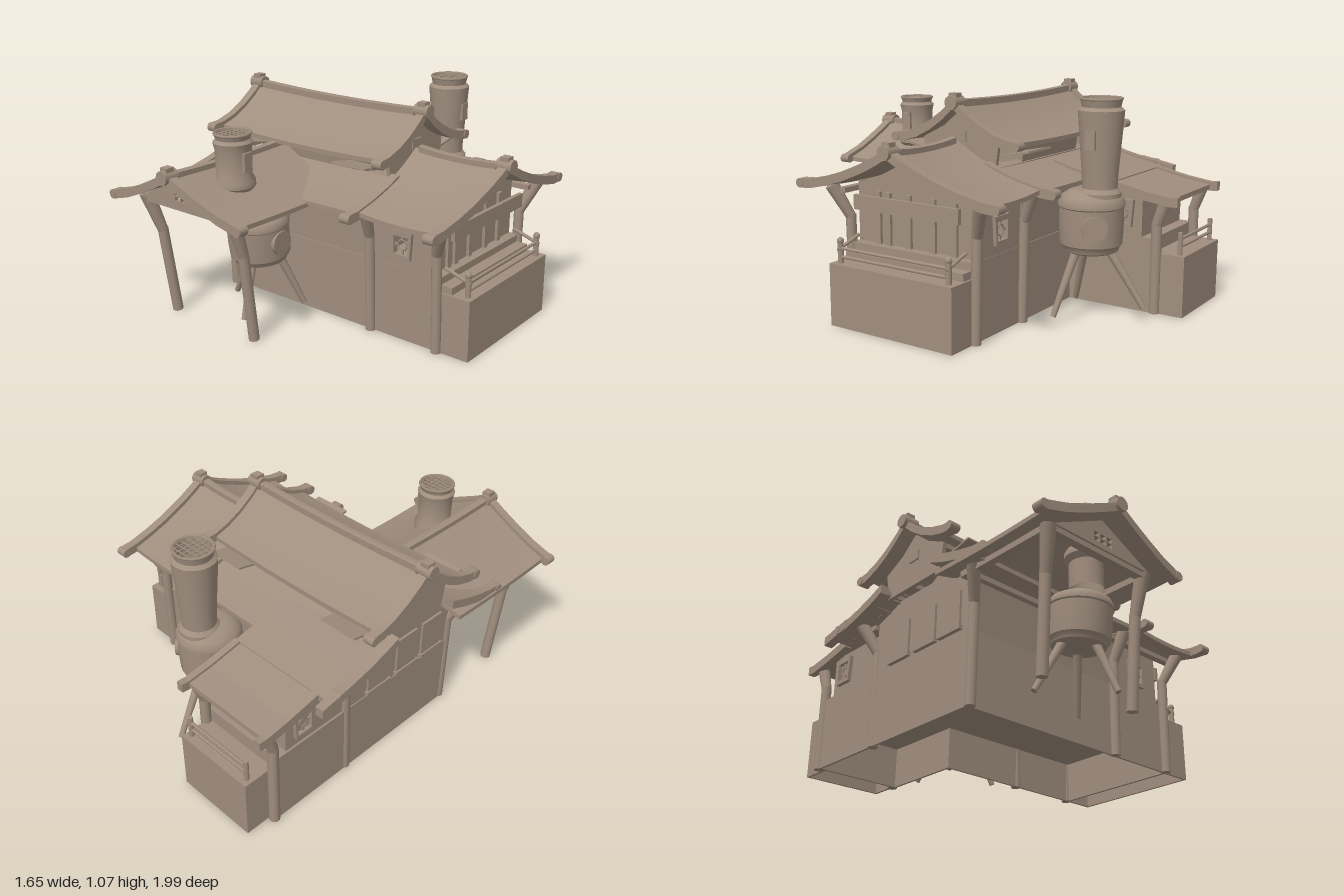
import * as THREE from 'three';
import { toCreasedNormals } from 'three/addons/utils/BufferGeometryUtils.js';

const clay = new THREE.MeshStandardMaterial({ color: 0xa08e7e, side: THREE.DoubleSide });
clay.name = 'clay';
const MID = -0.04; // z of the house's long axis
const EAVE_MID = -0.025; // z of the lower roofs' axis

export function createModel() {
  const model = new THREE.Group();

  function add(name, geometry, pos = [0, 0, 0], parent = model) {
    const mesh = new THREE.Mesh(geometry, clay);
    mesh.name = name;
    mesh.position.set(...pos);
    parent.add(mesh);
    return mesh;
  }
  // Box given by its limits on each axis
  function block(name, [x0, x1], [y0, y1], [z0, z1], parent = model) {
    return add(name, new THREE.BoxGeometry(x1 - x0, y1 - y0, z1 - z0),
      [(x0 + x1) / 2, (y0 + y1) / 2, (z0 + z1) / 2], parent);
  }
  // Round bar between two points
  function rod(name, a, b, r0, r1 = r0, parent = model, sides = 10) {
    const p = new THREE.Vector3(...a), q = new THREE.Vector3(...b), dir = q.clone().sub(p);
    const mesh = add(name, new THREE.CylinderGeometry(r1, r0, dir.length(), sides), p.clone().add(q).multiplyScalar(0.5).toArray(), parent);
    mesh.quaternion.setFromUnitVectors(new THREE.Vector3(0, 1, 0), dir.normalize());
    return mesh;
  }
  const vectors = pts => pts.map(p => new THREE.Vector2(...p));
  const polygon = (pts, ...holes) => {
    const shape = new THREE.Shape(vectors(pts));
    for (const h of holes) shape.holes.push(new THREE.Path(vectors(h)));
    return shape;
  };
  const rect = (x0, x1, y0, y1) => [[x0, y0], [x1, y0], [x1, y1], [x0, y1]];
  const extrude = (shape, depth, steps = 1) => new THREE.ExtrudeGeometry(shape, { depth, steps, bevelEnabled: false });

  // Plinth from a plan outline: solid above, a hollow skirt below the floor
  function plinth(name, outer, inner, top, floor = 0.21) {
    add(name, extrude(polygon(outer), top - floor).rotateX(Math.PI / 2), [0, top, 0]);
    add(name + 'Skirt', extrude(polygon(outer, inner), floor).rotateX(Math.PI / 2), [0, floor, 0]);
  }

  // Symmetric roof section [distance from ridge, height], swept along z with raised ends
  function roofGeometry(pts, t, length, lift = 0, bulge = 0) {
    const under = pts.map(([d, y]) => [d, y - t]).reverse();
    const half = s => [...pts, ...under].map(([d, y]) => [s * d, y]);
    const shapes = pts[0][0] > 0 ? [polygon(half(1)), polygon(half(-1))]
      : polygon([...pts.slice(1).reverse().map(([d, y]) => [-d, y]), ...pts, ...under, ...under.slice(0, -1).reverse().map(([d, y]) => [-d, y])]);
    const g = extrude(shapes, length, 8).translate(0, 0, -length / 2);
    const p = g.attributes.position, dMax = pts[pts.length - 1][0];
    for (let i = 0; i < p.count; i++) {
      const s = 2 * p.getZ(i) / length;
      p.setY(i, p.getY(i) + lift * s * s);
      p.setZ(i, p.getZ(i) + bulge * s * (1 - Math.abs(p.getX(i)) / dMax));
    }
    return toCreasedNormals(g, 0.5);
  }
  // Roof with ridge beam, bargeboards and end ornaments; local z runs along the ridge
  function roof(name, pos, turn, pts, length, { lift = 0.015, bulge = 0, ends = [-1, 1], over = 0.06 } = {}) {
    const group = new THREE.Group();
    group.name = name;
    group.position.set(...pos);
    group.rotation.y = turn;
    model.add(group);
    add('roofSheet', roofGeometry(pts, 0.022, length, lift, bulge), [0, 0, 0], group);
    const [d0, y0] = pts[0], [d1, y1] = pts[pts.length - 1];
    if (d0 === 0) add('ridgeBeam', roofGeometry([[0, y0 + 0.018], [0.02, y0 + 0.014]], 0.04, length, lift, 0), [0, 0, 0], group);
    const board = [...pts.map(([d, y]) => [d, y + 0.018]), [d1 + over, y1 + 0.014]];
    for (const e of ends) {
      const g = roofGeometry(board, 0.045, 0.045);
      const p = g.attributes.position;
      for (let i = 0; i < p.count; i++) p.setZ(i, p.getZ(i) + e * bulge * (1 - Math.abs(p.getX(i)) / (d1 + over)));
      g.computeVertexNormals();
      const z = e * (length / 2 - 0.02);
      add('bargeboard', toCreasedNormals(g, 0.5), [0, lift, z], group);
      for (const s of [-1, 1]) rod('eaveTip', [s * (d1 + over), y1 - 0.008 + lift, z - 0.027], [s * (d1 + over), y1 - 0.008 + lift, z + 0.027], 0.023, 0.023, group);
      if (d0 === 0) {
        const k = z + e * bulge;
        rod('ridgeKnob', [0, y0 + lift, k - 0.04], [0, y0 + lift, k + 0.04], 0.034, 0.034, group, 12);
        block('ridgeCrest', [-0.022, 0.022], [y0 + lift, y0 + lift + 0.045], [k - 0.022, k + 0.022], group);
      }
    }
  }

  // House plinth and walls
  const along = (name, pts, x0, x1) => {
    const mesh = add(name, extrude(polygon(pts), x1 - x0), [x0, 0, MID]);
    mesh.rotation.y = Math.PI / 2;
  };
  plinth('lowerWall',
    [[-0.66, -0.84], [-0.19, -0.84], [-0.19, -0.39], [0.66, -0.39], [0.66, 0.31], [-0.66, 0.31]],
    [[-0.648, -0.828], [-0.202, -0.828], [-0.202, -0.378], [0.648, -0.378], [0.648, 0.298], [-0.648, 0.298]], 0.37);
  along('hallWall', [[-0.345, 0.37], [0.345, 0.37], [0.36, 0.65], [0.2, 0.71], [-0.2, 0.71], [-0.36, 0.65]], -0.655, 0.28);
  along('sideGable', [[-0.33, 0.37], [0.33, 0.37], [0.35, 0.65], [0.2, 0.7], [0, 0.8], [-0.2, 0.7], [-0.35, 0.65]], 0.59, 0.61);
  for (const z of [-0.22, -0.1, 0.04, 0.16, 0.22]) block('endPost', [0.6, 0.625], [0.37, 0.62], [MID + z - 0.015, MID + z + 0.015]);
  block('hangingPanel', [0.68, 0.7], [0.54, 0.61], [MID - 0.3, MID + 0.3]);

  // Square lattice window; local z points out of the wall
  function lattice(pos, turn) {
    const w = new THREE.Group();
    w.name = 'latticeWindow';
    w.position.set(...pos);
    w.rotation.y = turn;
    model.add(w);
    const frame = polygon([[-0.05, -0.065], [0.05, -0.065], [0.06, 0.07], [-0.06, 0.07]], rect(-0.04, 0.04, -0.045, 0.045));
    add('windowFrame', extrude(frame, 0.02), [0, 0, -0.005], w);
    add('windowRing', new THREE.TorusGeometry(0.026, 0.005, 4, 8), [0, 0, 0], w);
    for (const s of [-1, 1]) {
      block('windowBar', [s * 0.034 - 0.007, s * 0.034 + 0.007], [-0.006, 0.006], [-0.004, 0.004], w);
      block('windowBar', [-0.006, 0.006], [s * 0.036 - 0.01, s * 0.036 + 0.01], [-0.004, 0.004], w);
    }
  }
  for (const s of [-1, 1]) {
    const wall = polygon(rect(0.27, 0.61, 0.37, 0.66), rect(0.41, 0.49, 0.435, 0.525));
    add('sideWingWall', extrude(wall, 0.015), [0, 0, MID + s * 0.34 - 0.0075]);
    lattice([0.45, 0.48, MID + s * 0.35], s > 0 ? 0 : Math.PI);
    // Flared wall posts
    for (const [x, out] of [[-0.645, -0.06], [0.27, 0.02], [0.65, 0.06]]) {
      const z = MID + s * 0.355;
      rod('wallPost', [x, 0, z], [x, 0.5, z + s * 0.01], 0.025);
      rod('postFlare', [x, 0.49, z + s * 0.01], [x + out, 0.645, z + s * 0.07], 0.025, 0.034);
    }
    block('wallPlate', [-0.68, 0.7], [0.61, 0.635], [MID + s * 0.37 - 0.018, MID + s * 0.37 + 0.018]);
  }
  for (const z of [-0.2, 0.0, 0.18]) {
    block('sidePanel', [-0.667, -0.655], [0.4, 0.58], [z - 0.07, z + 0.07]);
    block('sidePanelSill', [-0.675, -0.655], [0.38, 0.4], [z - 0.08, z + 0.08]);
  }

  // Raised clerestory with open ends and propped shutters
  const gable = [[-0.2, 0.7], [0.2, 0.7], [0.22, 0.84], [0.1, 0.9], [0, 0.98], [-0.1, 0.9], [-0.22, 0.84]];
  for (const [a, b] of [[-0.72, -0.7], [-0.49, 0.04], [0.25, 0.27]]) along('clerestoryWall', gable, a, b);
  for (const x of [-0.722, 0.272]) block('gableVent', [x - 0.006, x + 0.006], [0.83, 0.88], [MID - 0.035, MID + 0.035]);
  for (const s of [-1, 1]) {
    const z = MID + s * 0.2;
    block('clerestorySill', [-0.71, 0.26], [0.7, 0.72], [z - 0.015, z + 0.015]);
    block('clerestoryHead', [-0.71, 0.26], [0.82, 0.845], [z - 0.015, z + 0.015]);
    for (const x of [-0.595, 0.145]) {
      const shutter = block('shutter', [x - 0.1, x + 0.1], [0.784, 0.794], [MID + s * 0.29 - 0.08, MID + s * 0.29 + 0.08]);
      shutter.rotation.x = -s * 0.2;
    }
  }

  // Main roofs
  const turn = Math.PI / 2;
  const upper = [[0, 1.005], [0.06, 0.95], [0.14, 0.895], [0.22, 0.855], [0.3, 0.83]];
  const lower = [[0.19, 0.73], [0.28, 0.695], [0.38, 0.665], [0.49, 0.64]];
  roof('upperRoof', [-0.23, 0, MID], turn, upper, 1.12, { over: 0.05 });
  roof('lowerRoof', [-0.23, 0, EAVE_MID], turn, lower, 1.1, { lift: 0.005, over: 0.065 });
  roof('sideRoof', [0.54, 0, EAVE_MID], turn, [[0, 0.825], [0.06, 0.79], [0.13, 0.755], ...lower], 0.46, { lift: 0.015, bulge: 0.03, ends: [1], over: 0.065 });

  // Front porch
  const PX = -0.39;
  roof('porchRoof', [PX, 0, 0.58], 0, [[0, 0.795], [0.1, 0.745], [0.2, 0.7], [0.3, 0.66], [0.4, 0.632]], 0.72, { lift: 0.008, bulge: 0.03, ends: [1], over: 0.02 });
  const panes = [];
  for (let i = -1; i <= 1; i++) for (const y of [0.655, 0.681]) panes.push(rect(i * 0.04 - 0.016, i * 0.04 + 0.016, y, y + 0.02));
  add('pediment', extrude(polygon([[-0.3, 0.63], [0.3, 0.63], [0, 0.775]], ...panes), 0.02), [PX, 0, 0.85]);
  block('porchBeam', [-0.69, -0.1], [0.605, 0.64], [0.82, 0.86]);
  for (const [foot, knee, head] of [[-0.635, -0.655, -0.69], [-0.098, -0.1, -0.1]]) {
    rod('porchPost', [foot, 0, 0.74], [knee, 0.45, 0.785], 0.026);
    rod('porchPostFlare', [knee, 0.44, 0.785], [head, 0.64, 0.84], 0.026, 0.036);
    block('porchSideBeam', [head - 0.018, head + 0.018], [0.605, 0.635], [0.3, 0.86]);
  }

  // Back wing with shed roof
  block('backWingUpper', [-0.65, -0.195], [0.37, 0.585], [-0.78, -0.38]);
  const slope = [[0.3, 0.7], [0.46, 0.66], [0.63, 0.625], [0.8, 0.59], [0.93, 0.572]];
  const shed = (name, pts, t, x0, x1) => {
    const g = extrude(polygon([...pts, ...pts.map(([d, y]) => [d, y - t]).reverse()]), x1 - x0);
    add(name, g, [x0, 0, 0]).rotation.y = Math.PI / 2;
  };
  shed('shedRoof', slope, 0.025, -0.69, -0.18);
  shed('shedRoofUpper', slope.slice(0, 3).map(([d, y]) => [d, y + 0.006]), 0.03, -0.75, -0.17);
  shed('shedUpperEdge', [[0.5, 0.67], [0.69, 0.635]], 0.045, -0.785, -0.74);
  for (const x of [-0.7, -0.2]) shed('shedEdge', [...slope.slice(2), [0.97, 0.575]].map(([d, y]) => [d, y + 0.012]), 0.045, x, x + 0.035);
  for (const x of [-0.65, -0.2]) {
    rod('backPost', [x, 0, -0.855], [x, 0.45, -0.855], 0.026);
    rod('backPostFlare', [x, 0.44, -0.855], [x, 0.57, -0.9], 0.026, 0.032);
  }
  lattice([-0.19, 0.48, -0.68], Math.PI / 2);
  lattice([-0.655, 0.48, -0.68], -Math.PI / 2);
  plinth('backBalcony', rect(-0.63, -0.2, -1, -0.83), rect(-0.618, -0.212, -0.988, -0.842), 0.3);
  for (const x of [-0.6, -0.23]) rod('backRailPost', [x, 0.3, -0.965], [x, 0.41, -0.965], 0.012);
  for (const y of [0.34, 0.38]) rod('backRail', [-0.6, y, -0.965], [-0.23, y, -0.965], 0.008);

  // Side balcony with steps and rails
  plinth('sideBalcony', rect(0.65, 0.82, -0.39, 0.31), rect(0.662, 0.808, -0.378, 0.298), 0.3);
  block('balconyStep', [0.64, 0.72], [0.3, 0.335], [MID - 0.34, MID + 0.34]);
  for (const s of [-1, 1]) {
    const z = MID + s * 0.31;
    rod('railPost', [0.785, 0.3, z], [0.785, 0.4, z], 0.014);
    add('railKnob', new THREE.SphereGeometry(0.017, 10, 8), [0.785, 0.405, z]);
    rod('slopedRail', [0.66, 0.41, z], [0.8, 0.365, z], 0.009);
  }
  for (const y of [0.33, 0.37]) rod('balconyRail', [0.785, y, MID - 0.31], [0.785, y, MID + 0.31], 0.008);

  // Legged boiler, its body tilted on the legs, with chimney and grated mouth
  function boiler(name, [x, y, z], r, h, { tilt, facing, pipe, legs }) {
    const group = new THREE.Group();
    group.name = name;
    model.add(group);
    const lathe = pts => toCreasedNormals(new THREE.LatheGeometry(vectors(pts), 28), 0.6);
    const tank = new THREE.Group();
    tank.name = 'tank';
    tank.position.set(x, y, z);
    tank.rotation.set(tilt, facing, 0);
    group.add(tank);
    const body = [[0, 0], [0.74, 0], [0.84, 0.03], [0.88, 0.1], [0.95, 0.14], [0.98, 0.4], [0.98, 0.74], [1.02, 0.76], [1.02, 0.82], [0.93, 0.92], [0.7, 1], [0.55, 1.02], [0, 1.02]];
    add('boilerBody', lathe(body.map(([a, b]) => [a * r, b * h])), [0, 0, 0], tank);
    rod('porthole', [r * 0.8, h * 0.47, 0], [r * 1.02, h * 0.47, 0], r * 0.4, r * 0.38, tank, 20);
    for (const foot of legs) {
      const top = new THREE.Vector3(foot[0] - x, 0, foot[2] - z).setLength(r * 0.5);
      rod('boilerLeg', foot, [x + top.x, y + 0.03, z + top.z], 0.014, 0.022, group);
    }
    const stack = new THREE.Group();
    stack.name = 'chimney';
    stack.position.set(...pipe.base);
    group.add(stack);
    add('chimneyPipe', lathe(pipe.profile), [0, 0, 0], stack);
    const [mr, my] = pipe.profile[pipe.profile.length - 3];
    add('chimneyRim', new THREE.TorusGeometry(mr * 0.96, 0.007, 6, 24).rotateX(Math.PI / 2), [0, my, 0], stack);
    for (let i = -2; i <= 2; i++) {
      const c = i * mr * 0.3, l = Math.sqrt(mr * mr - c * c) * 0.92;
      rod('grateBar', [c, my - 0.006, -l], [c, my - 0.006, l], 0.004, 0.004, stack, 5);
      rod('grateBar', [-l, my - 0.006, c], [l, my - 0.006, c], 0.004, 0.004, stack, 5);
    }
    const [vx, vy] = pipe.vent;
    block('chimneyVent', [vx - 0.012, vx + 0.012], [vy - 0.045, vy + 0.045], [-0.025, 0.025], stack);
  }
  boiler('frontBoiler', [-0.22, 0.325, 0.55], 0.152, 0.25, {
    tilt: 0.09, facing: 0,
    pipe: {
      base: [-0.27, 0.56, 0.655], vent: [0.085, 0.28],
      profile: [[0.08, 0], [0.08, 0.13], [0.1, 0.155], [0.1, 0.18], [0.084, 0.21], [0.086, 0.33], [0.094, 0.365], [0.08, 0.38], [0.088, 0.405], [0.074, 0.405], [0.07, 0.34]],
    },
    legs: [[-0.45, 0.07, 0.5], [-0.17, 0.075, 0.73], [-0.08, 0.07, 0.4]],
  });
  boiler('backBoiler', [0.03, 0.33, -0.625], 0.155, 0.29, {
    tilt: 0, facing: 0.6,
    pipe: {
      base: [0.04, 0.6, -0.67], vent: [0.095, 0.27],
      profile: [[0.1, 0], [0.1, 0.02], [0.082, 0.04], [0.086, 0.12], [0.105, 0.36], [0.108, 0.4], [0.09, 0.415], [0.098, 0.452], [0.084, 0.452], [0.08, 0.36]],
    },
    legs: [[-0.02, 0.08, -0.88], [0.23, 0.04, -0.54], [-0.13, 0.03, -0.46]],
  });

  return model;
}
